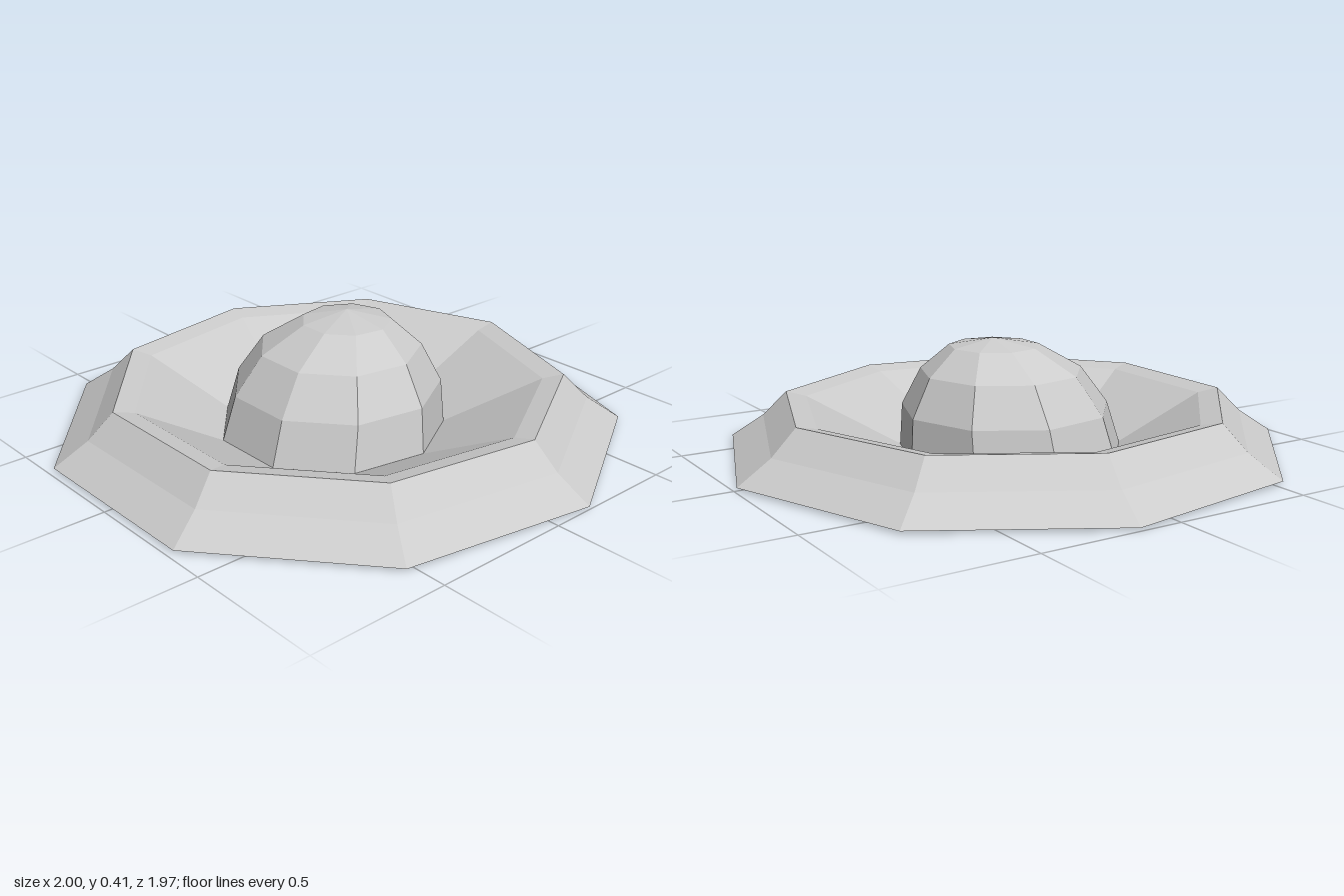
import * as THREE from 'three';

const SIDES = 9;
const material = new THREE.MeshStandardMaterial({ color: 0xcccccc, flatShading: true, side: THREE.DoubleSide });

// Joins nine-sided rings, listed from the outside in as [radius, y, centreX, centreZ]
function loft(name, rings) {
  const positions = [];
  const index = [];
  for (const [r, y, cx, cz] of rings) {
    for (let i = 0; i < SIDES; i++) {
      const a = (i / SIDES) * Math.PI * 2;
      positions.push(cx + r * Math.sin(a), y, cz - r * Math.cos(a));
    }
  }
  for (let k = 0; k < rings.length - 1; k++) {
    for (let i = 0; i < SIDES; i++) {
      const j = (i + 1) % SIDES;
      const a = k * SIDES + i;
      const b = k * SIDES + j;
      const c = a + SIDES;
      const d = b + SIDES;
      index.push(a, c, b);
      if (rings[k + 1][0] > 0) index.push(b, c, d);
    }
  }
  const geometry = new THREE.BufferGeometry();
  geometry.setAttribute('position', new THREE.Float32BufferAttribute(positions, 3));
  geometry.setIndex(index);
  geometry.computeVertexNormals();
  const mesh = new THREE.Mesh(geometry, material);
  mesh.name = name;
  return mesh;
}

export function createModel() {
  const group = new THREE.Group();
  group.name = 'craterWithDome';

  // Outer bank, rim, narrow ledge and the bowl sloping down to the dome
  group.add(loft('craterBank', [
    [1.015, 0.01, 0, 0.025],
    [0.895, 0.09, 0, 0.025],
    [0.805, 0.18, 0, 0.025],
    [0.73, 0.165, 0, 0.025],
    [0.405, 0, -0.02, 0.038],
  ]));

  // Hollow central dome, its top leaning slightly backwards
  group.add(loft('centralDome', [
    [0.405, 0, -0.02, 0.038],
    [0.375, 0.155, -0.02, 0.015],
    [0.29, 0.29, -0.02, -0.003],
    [0.16, 0.38, -0.015, -0.03],
    [0, 0.41, -0.03, -0.045],
  ]));

  return group;
}
